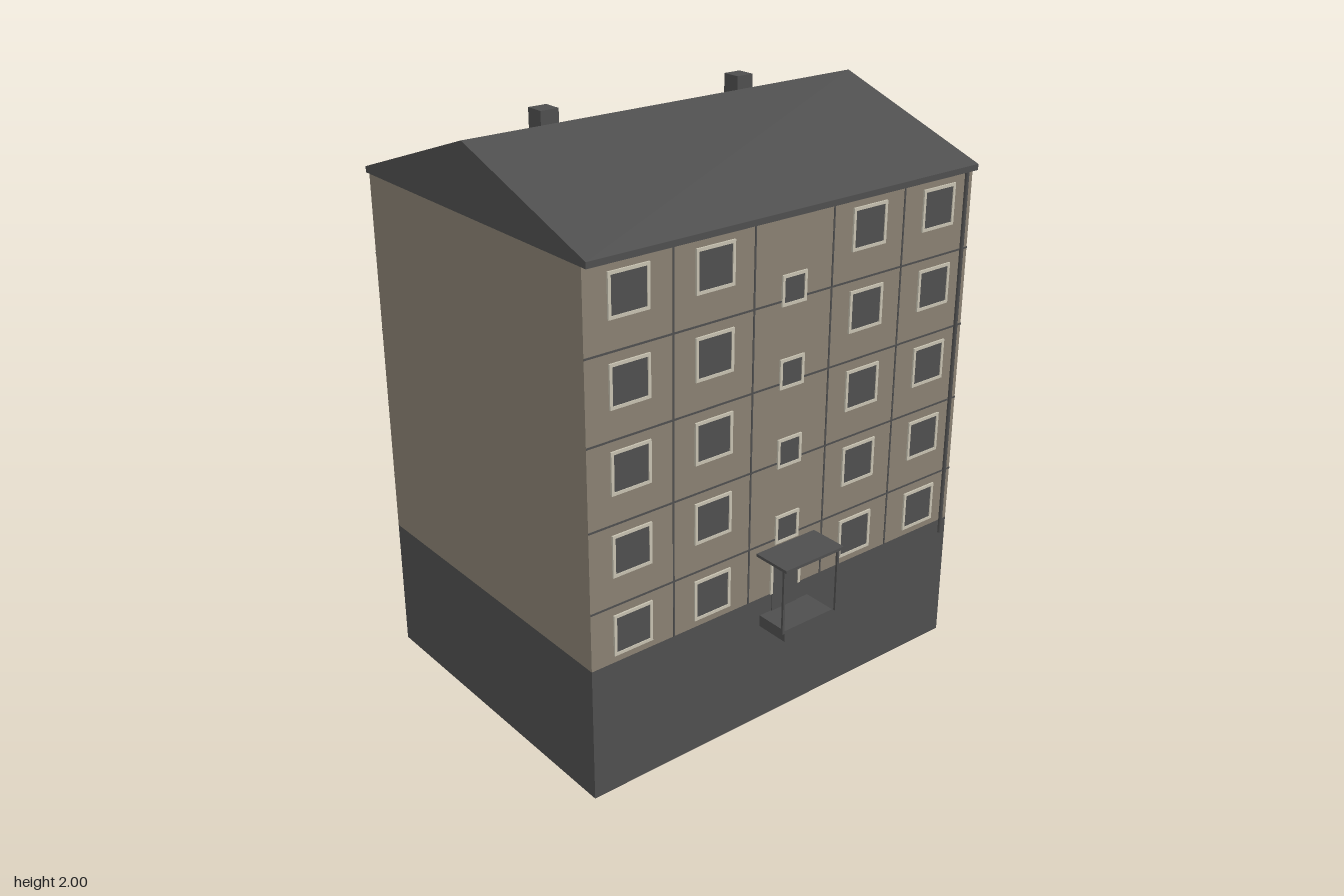
import * as THREE from 'three';

const mat = (name, color) => Object.assign(new THREE.MeshStandardMaterial({ color }), { name });

export function createModel() {
  const wall = mat('beige wall', 0x898072);
  const dark = mat('dark grey', 0x4e4e4e);
  const trim = mat('pale trim', 0xc6c1b0);
  const model = new THREE.Group();
  model.name = 'apartmentBlock';

  const X0 = -0.61, X1 = 0.555, Z = 0.775, BASE = 0.465, EAVE = 1.74;

  // Box given by its limits on each axis
  function box(name, material, xa, xb, y0, y1, za, zb, parent = model) {
    const g = new THREE.BoxGeometry(Math.abs(xb - xa), y1 - y0, Math.abs(zb - za));
    const m = new THREE.Mesh(g, material);
    m.position.set((xa + xb) / 2, (y0 + y1) / 2, (za + zb) / 2);
    m.name = name;
    parent.add(m);
    return m;
  }

  // Main masses
  box('plinth', dark, X0, X1, 0, BASE, -Z, Z);
  box('walls', wall, X0, X1, BASE, EAVE, -Z, Z);
  box('eaves', dark, -0.632, 0.577, EAVE, 1.76, -Z, Z);

  // Gabled roof
  const gable = new THREE.Shape([
    new THREE.Vector2(-0.632, 1.76), new THREE.Vector2(0.577, 1.76), new THREE.Vector2(-0.028, 1.965),
  ]);
  const roof = new THREE.Mesh(
    new THREE.ExtrudeGeometry(gable, { depth: 2 * Z, bevelEnabled: false }), dark);
  roof.position.z = -Z;
  roof.name = 'roof';
  model.add(roof);
  for (const z of [0.445, -0.33]) box('chimney', dark, -0.126, -0.06, 1.9, 2, z - 0.033, z + 0.033);

  // Frame with an opening, plus the pane set inside it
  function opening(name, side, z, y, w, h, parent) {
    const rect = (C, a, b) => new C([
      new THREE.Vector2(-a, -b), new THREE.Vector2(a, -b),
      new THREE.Vector2(a, b), new THREE.Vector2(-a, b),
    ]);
    const t = 0.01, shape = rect(THREE.Shape, w / 2, h / 2);
    shape.holes.push(rect(THREE.Path, w / 2 - t, h / 2 - t));
    const x = side > 0 ? X1 : X0;
    const frame = new THREE.Mesh(
      new THREE.ExtrudeGeometry(shape, { depth: 0.006, bevelEnabled: false }), trim);
    frame.rotation.y = side * Math.PI / 2;
    frame.position.set(x, y, z);
    frame.name = name + 'Frame';
    parent.add(frame);
    box(name + 'Pane', dark, x, x + side * 0.003, y - h / 2 + t, y + h / 2 - t,
      z - w / 2 + t, z + w / 2 - t, parent);
  }

  const floors = [0.56, 0.83, 1.1, 1.37, 1.64];
  for (const side of [1, -1]) {
    const facade = new THREE.Group();
    facade.name = side > 0 ? 'entranceFacade' : 'balconyFacade';
    model.add(facade);
    const x = side > 0 ? X1 : X0;

    // Panel joints
    for (const y of [0.662, 0.934, 1.204, 1.474])
      box('floorJoint', dark, x, x + side * 0.002, y - 0.003, y + 0.003, -Z, Z, facade);
    for (const z of [-0.463, -0.158, 0.158, 0.463])
      box('panelJoint', dark, x, x + side * 0.002, BASE, EAVE, z - 0.003, z + 0.003, facade);

    // Flat windows; the stairwell takes the middle column on the entrance side
    for (const y of floors)
      for (const z of [-0.62, -0.31, 0, 0.31, 0.62])
        if (z !== 0 || side < 0) opening('window', side, z, y, 0.145, 0.14, facade);

    // Downpipe at one corner
    const pipe = new THREE.Mesh(new THREE.CylinderGeometry(0.007, 0.007, 1.33, 8), dark);
    pipe.position.set(x + side * 0.004, 1.08, -side * 0.745);
    pipe.name = 'downpipe';
    facade.add(pipe);

    if (side > 0) {
      for (const y of [0.695, 0.965, 1.235, 1.507]) opening('stairWindow', 1, 0, y, 0.1, 0.1, facade);
      // Door with frame on three sides
      box('doorPane', dark, x, x + 0.003, 0.4, 0.593, -0.055, 0.055, facade);
      box('doorLintel', trim, x, x + 0.006, 0.593, 0.603, -0.065, 0.065, facade);
      for (const s of [-1, 1])
        box('doorJamb', trim, x, x + 0.006, BASE, 0.593, s * 0.055, s * 0.065, facade);
      // Porch
      box('porchStep', dark, x, 0.675, 0.36, 0.4, -0.105, 0.105, facade);
      box('porchCanopy', dark, x, 0.695, 0.627, 0.637, -0.125, 0.125, facade);
      for (const s of [-1, 1])
        box('porchPost', dark, 0.673, 0.681, 0.395, 0.63, s * 0.112, s * 0.12, facade);
    } else {
      // Open-topped balconies, one pair per upper floor
      for (const y of floors.slice(1))
        for (const s of [-1, 1]) {
          const b = new THREE.Group();
          b.name = 'balcony';
          facade.add(b);
          const y0 = y - 0.165, y1 = y - 0.055, t = 0.005;
          const zi = s * 0.19, zo = s * 0.43;
          box('balconyFloor', dark, -0.7, X0, y0, y0 + 0.012, zi, zo, b);
          box('balconyFront', wall, -0.7, -0.7 + t, y0 + 0.012, y1, zi, zo, b);
          box('balconyInnerEnd', wall, -0.7 + t, X0, y0 + 0.012, y1, zi, zi + s * t, b);
          box('balconyOuterEnd', wall, -0.7 + t, X0, y0 + 0.012, y1, zo - s * t, zo, b);
          // Door beside the window
          box('balconyDoor', dark, X0, X0 - 0.003, y0 + 0.012, y - 0.07, s * 0.24, s * 0.31, b);
        }
    }
  }
  return model;
}
